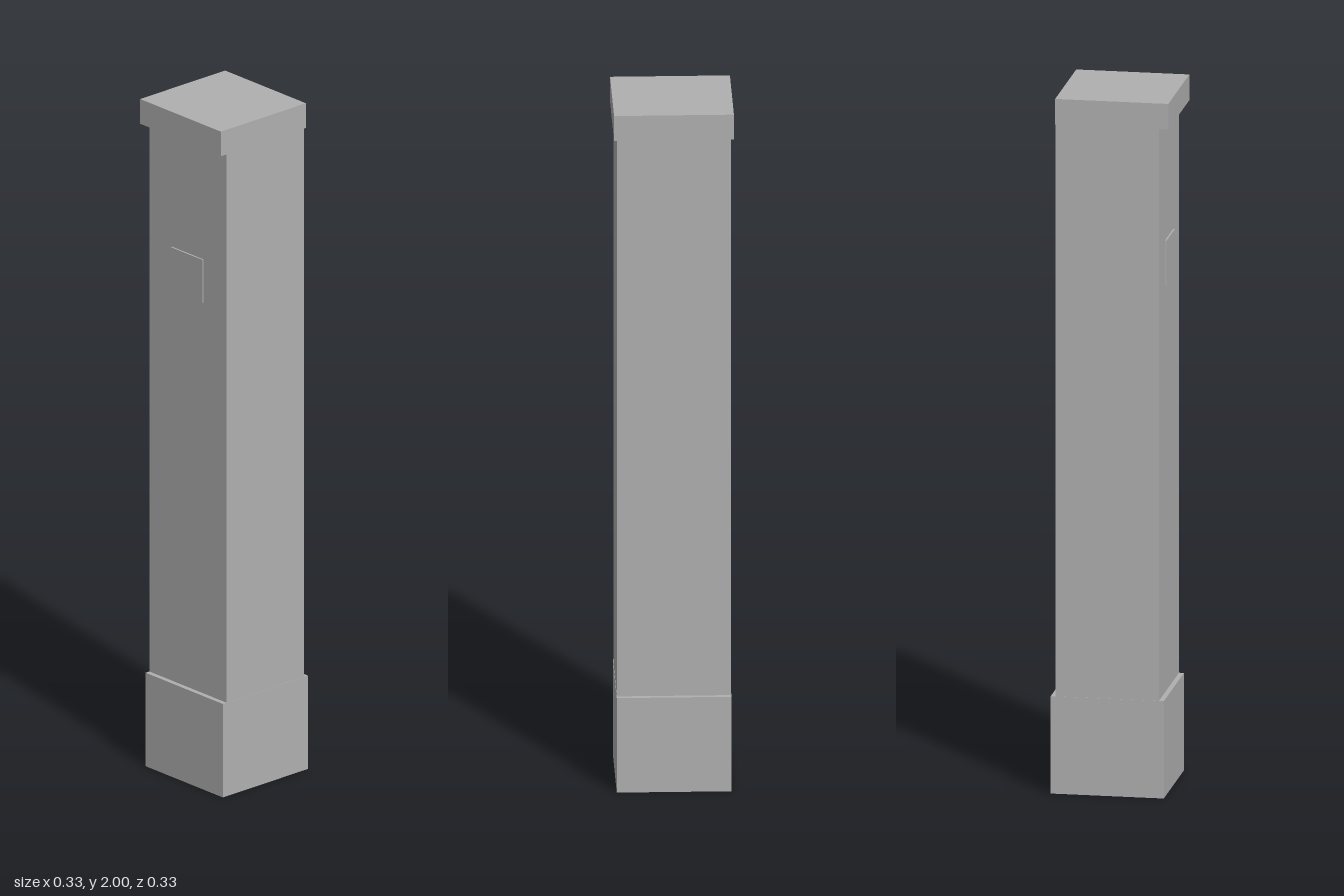
import * as THREE from 'three';

export function createModel() {
  const group = new THREE.Group();
  group.name = 'pillar';
  const stone = new THREE.MeshStandardMaterial({ color: 0xb0b0b0 });
  stone.name = 'stone grey';

  // Box given by half width, height range and depth range
  function block(name, halfWidth, y0, y1, z0, z1) {
    const geometry = new THREE.BoxGeometry(halfWidth * 2, y1 - y0, z1 - z0);
    const mesh = new THREE.Mesh(geometry, stone);
    mesh.name = name;
    mesh.position.set(0, (y0 + y1) / 2, (z0 + z1) / 2);
    group.add(mesh);
  }

  block('base', 0.16, 0, 0.28, -0.167, 0.153);
  block('shaft', 0.159, 0.28, 1.926, -0.153, 0.139);
  // Cap overhangs the front and sides and sits flush at the back
  block('cap', 0.167, 1.926, 2, -0.153, 0.167);
  // Thin raised plate on the front
  block('frontPlate', 0.065, 1.45, 1.58, 0.139, 0.144);

  return group;
}
